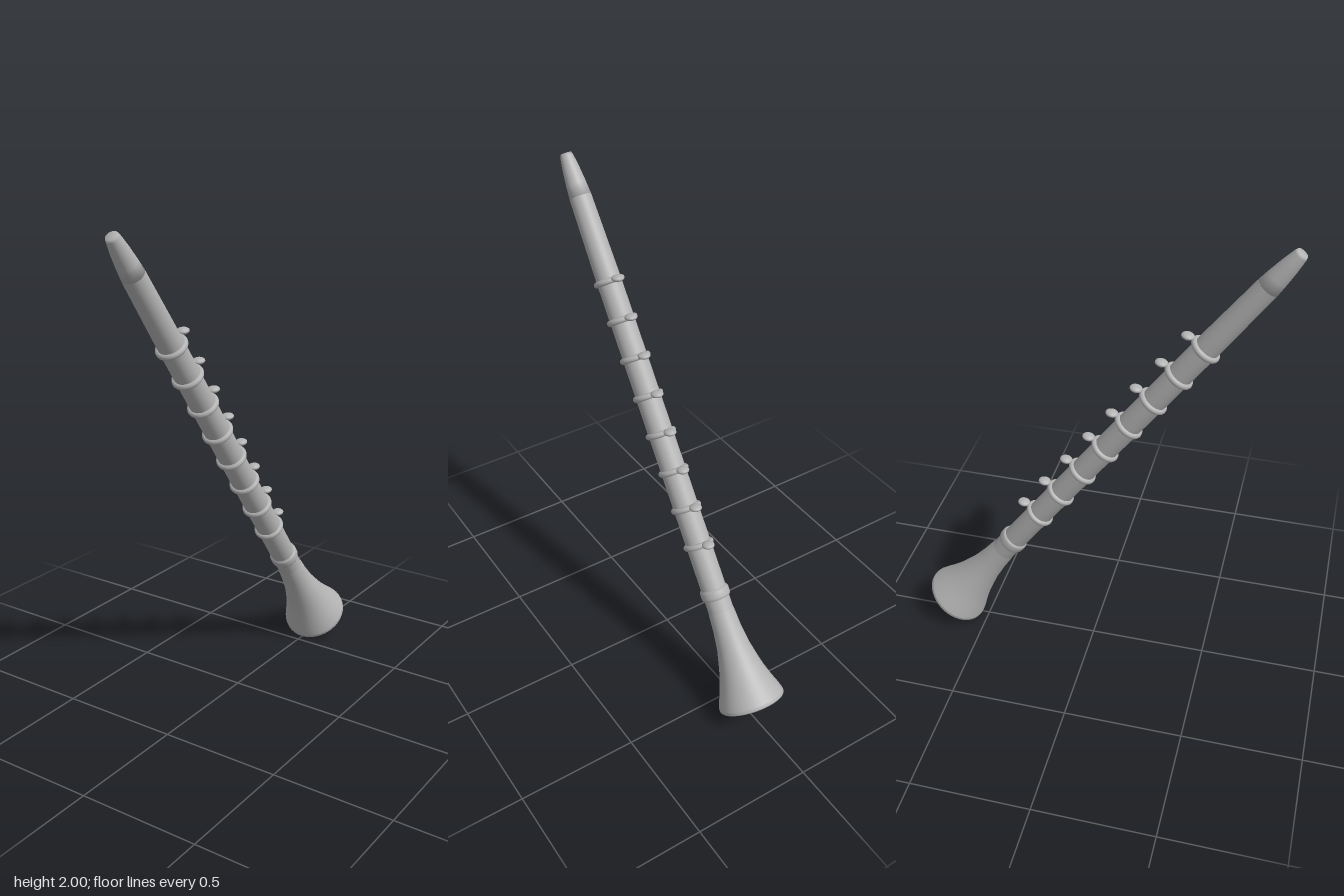
import * as THREE from 'three';

const grey = new THREE.MeshStandardMaterial({ color: 0xb3b3b3 });
grey.name = 'grey';

function add(parent, name, geometry) {
  const mesh = new THREE.Mesh(geometry, grey);
  mesh.name = name;
  parent.add(mesh);
  return mesh;
}

// Surface of revolution from [radius, height] pairs
function turned(parent, name, profile, segments = 40) {
  const points = profile.map(([r, y]) => new THREE.Vector2(r, y));
  return add(parent, name, new THREE.LatheGeometry(points, segments));
}

export function createModel() {
  const model = new THREE.Group();
  model.name = 'clarinet';

  // The instrument is built upright along y, then leaned towards the front
  const lean = 0.629;
  const tube = new THREE.Group();
  tube.name = 'leaningClarinet';
  tube.position.set(0, 0.0925, -0.643);
  tube.rotation.x = lean;
  model.add(tube);

  // Flared bell: outer wall, hollow inside, thin rolled rim
  const flare = [[0.139, 0.006], [0.131, 0.03], [0.115, 0.07], [0.098, 0.12], [0.086, 0.165],
    [0.069, 0.24], [0.059, 0.32], [0.054, 0.4]];
  turned(tube, 'bellOutside', flare);
  const bore = flare.map(([r, y]) => [r - 0.008, y]).reverse();
  turned(tube, 'bellInside', [[0.0001, 0.4], ...bore, [0.128, -0.008]]);
  turned(tube, 'bellRim', [[0.128, -0.008], [0.136, -0.011], [0.14, -0.006], [0.139, 0.006]]);

  // Long body and tapering mouthpiece
  turned(tube, 'body', [[0.0001, 0.395], [0.053, 0.395], [0.0505, 1.82], [0.045, 2.169]]);
  turned(tube, 'mouthpiece', [[0.0001, 2.167], [0.045, 2.167], [0.041, 2.22], [0.035, 2.28],
    [0.027, 2.335], [0.023, 2.346], [0.0001, 2.346]]);

  // Wide band above the bell
  turned(tube, 'lowerBand', [[0.052, 0.454], [0.058, 0.457], [0.061, 0.466], [0.061, 0.488],
    [0.058, 0.497], [0.052, 0.5]]);

  // Eight key rings, each with a small rounded pad at the back
  const ringGeometry = new THREE.TorusGeometry(0.052, 0.0125, 12, 40).rotateX(Math.PI / 2);
  const padGeometry = new THREE.SphereGeometry(0.026, 20, 14).scale(1, 0.5, 1);
  for (let i = 0; i < 8; i++) {
    const y = 0.69 + i * 0.161;
    add(tube, 'keyRing' + (i + 1), ringGeometry).position.y = y;
    const pad = add(tube, 'keyPad' + (i + 1), padGeometry);
    pad.position.set(0, y - 0.002, -0.083);
    pad.rotation.x = 0.17 - lean;
  }

  return model;
}
